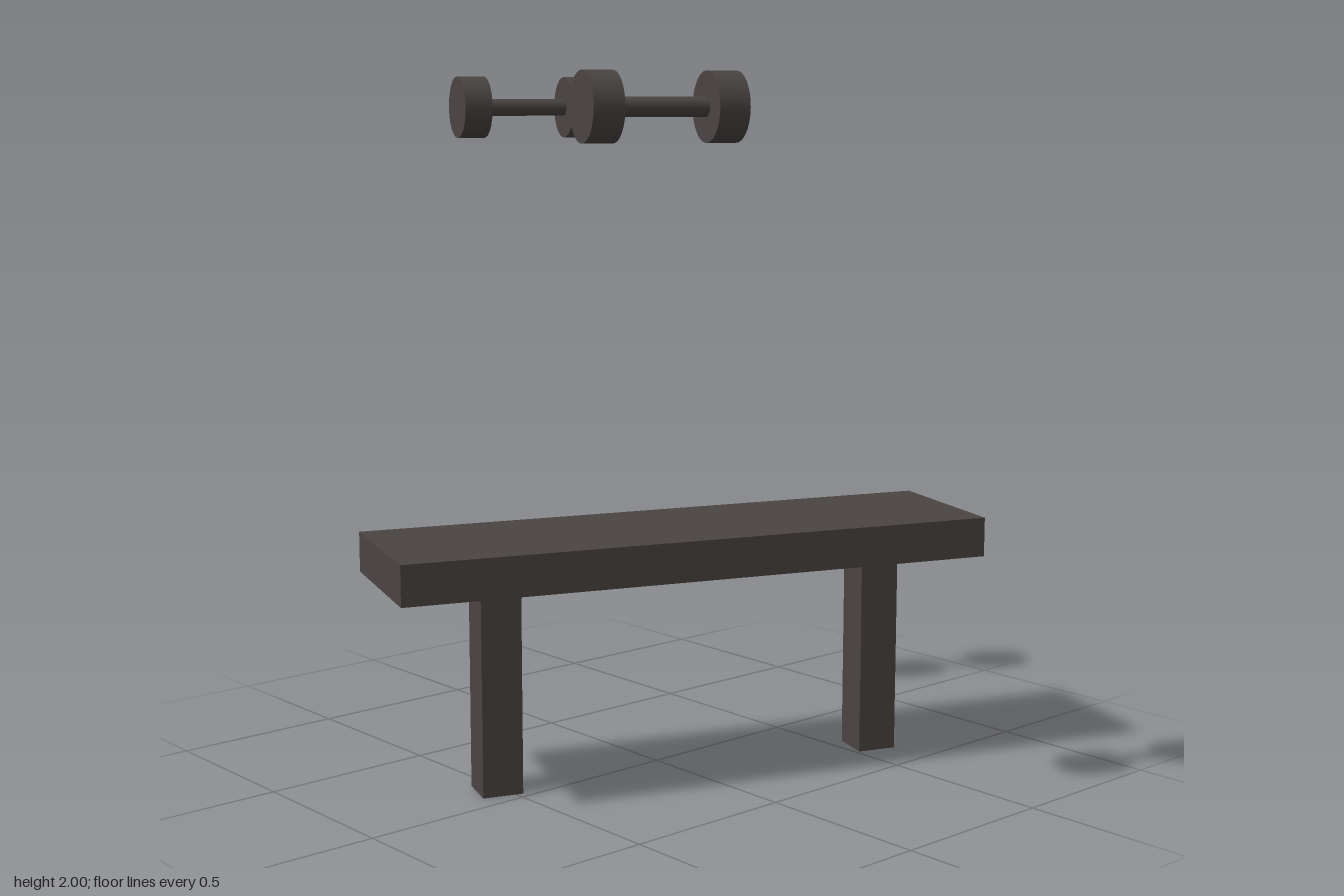
import * as THREE from 'three';

export function createModel() {
  const model = new THREE.Group();
  model.name = 'benchWithDumbbells';
  const darkGrey = new THREE.MeshStandardMaterial({ color: 0x4a4543 });
  darkGrey.name = 'darkGrey';
  const yaw = -Math.PI / 9; // everything is turned 20 degrees

  const add = (parent, name, geometry, x, y, z) => {
    const mesh = new THREE.Mesh(geometry, darkGrey);
    mesh.name = name;
    mesh.position.set(x, y, z);
    parent.add(mesh);
  };

  // Bench: a flat slab on two square posts
  const bench = new THREE.Group();
  bench.name = 'bench';
  bench.position.x = 0.09;
  bench.rotation.y = yaw;
  add(bench, 'seat', new THREE.BoxGeometry(0.465, 0.115, 1.75), 0, 0.667, 0);
  const leg = new THREE.BoxGeometry(0.117, 0.61, 0.117);
  add(bench, 'frontLeg', leg, 0, 0.305, 0.548);
  add(bench, 'backLeg', leg, 0, 0.305, -0.624);
  model.add(bench);

  // Dumbbells: a thin bar with a round weight at each end, along local z
  const bar = new THREE.CylinderGeometry(0.025, 0.025, 0.26, 32).rotateX(Math.PI / 2);
  const weight = new THREE.CylinderGeometry(0.09, 0.09, 0.082, 32).rotateX(Math.PI / 2);
  for (const [name, x, z] of [['rightDumbbell', -0.528, 0.063], ['leftDumbbell', 0.523, 0.449]]) {
    const dumbbell = new THREE.Group();
    dumbbell.name = name;
    dumbbell.position.set(x, 1.91, z);
    dumbbell.rotation.y = yaw;
    add(dumbbell, 'bar', bar, 0, 0, 0);
    add(dumbbell, 'frontWeight', weight, 0, 0, 0.166);
    add(dumbbell, 'backWeight', weight, 0, 0, -0.166);
    model.add(dumbbell);
  }
  return model;
}
